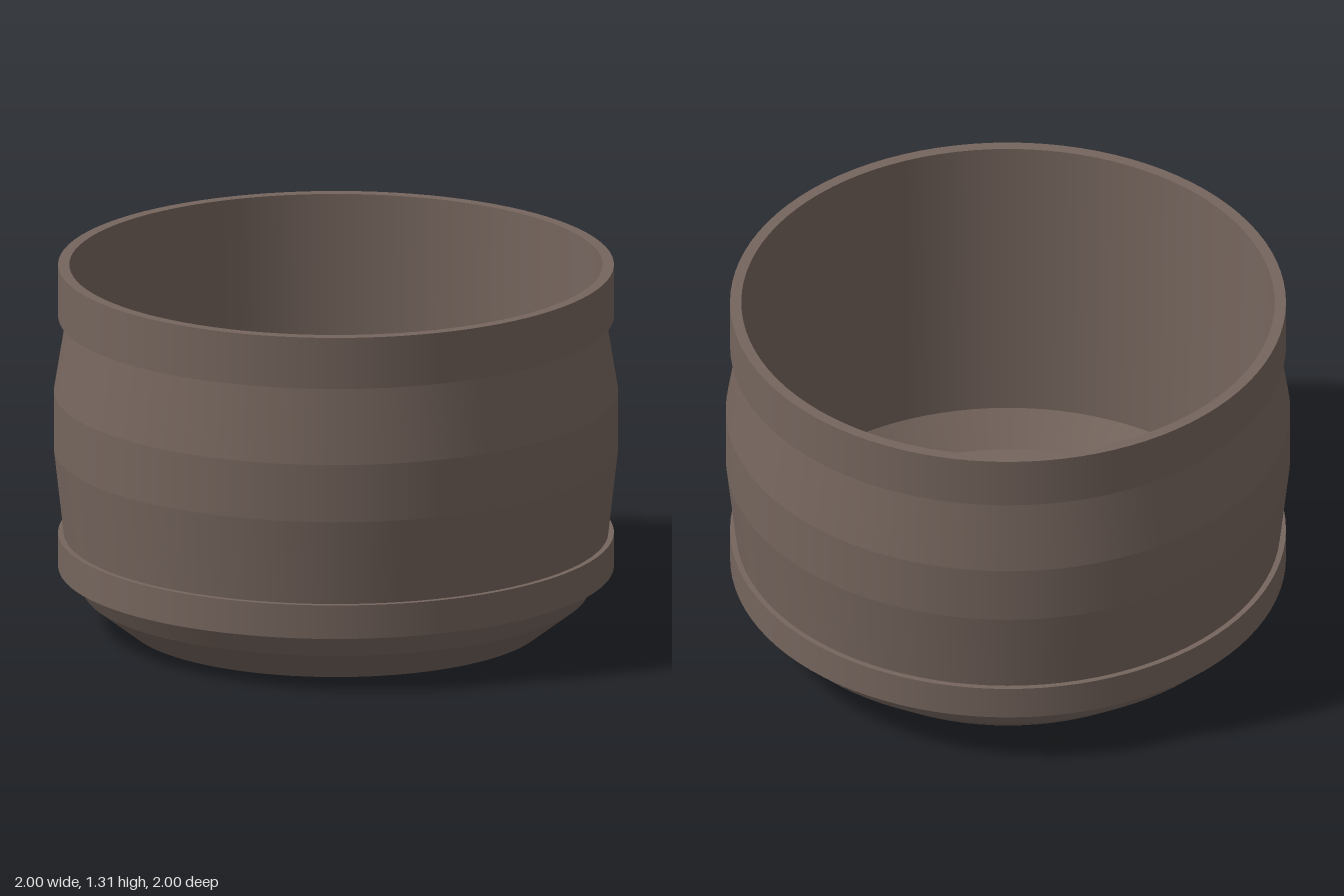
import * as THREE from 'three';
import { mergeGeometries } from 'three/addons/utils/BufferGeometryUtils.js';

const SEGMENTS = 96;

// Revolves each profile segment on its own: smooth around, crisp between steps.
function creasedLathe(profile) {
  const rings = [];
  for (let i = 0; i < profile.length - 1; i++) {
    const pair = [profile[i], profile[i + 1]].map(([r, y]) => new THREE.Vector2(r, y));
    rings.push(new THREE.LatheGeometry(pair, SEGMENTS));
  }
  return mergeGeometries(rings);
}

export function createModel() {
  const model = new THREE.Group();
  model.name = 'bowl';

  const clay = new THREE.MeshStandardMaterial({ color: 0x75655d });
  clay.name = 'brown clay';

  function addPart(name, profile) {
    const mesh = new THREE.Mesh(creasedLathe(profile), clay);
    mesh.name = name;
    model.add(mesh);
  }

  // Outer wall, from the centre of the base up to the rim
  addPart('outerWall', [
    [0, 0], [0.74, 0], [0.895, 0.12], [0.95, 0.207],
    [0.965, 0.33], [1, 0.64], [1, 0.85], [0.955, 1.125],
  ]);

  // Inner wall, from the rim down to the flat floor
  addPart('innerWall', [
    [0.945, 1.313], [0.92, 0.21], [0.82, 0.1], [0, 0.1],
  ]);

  // Raised band near the base
  addPart('lowerBand', [
    [0.94, 0.207], [0.985, 0.207], [0.985, 0.33], [0.955, 0.33],
  ]);

  // Thick collar around the mouth
  addPart('rimBand', [
    [0.945, 1.125], [0.985, 1.125], [0.985, 1.313], [0.945, 1.313],
  ]);

  return model;
}
